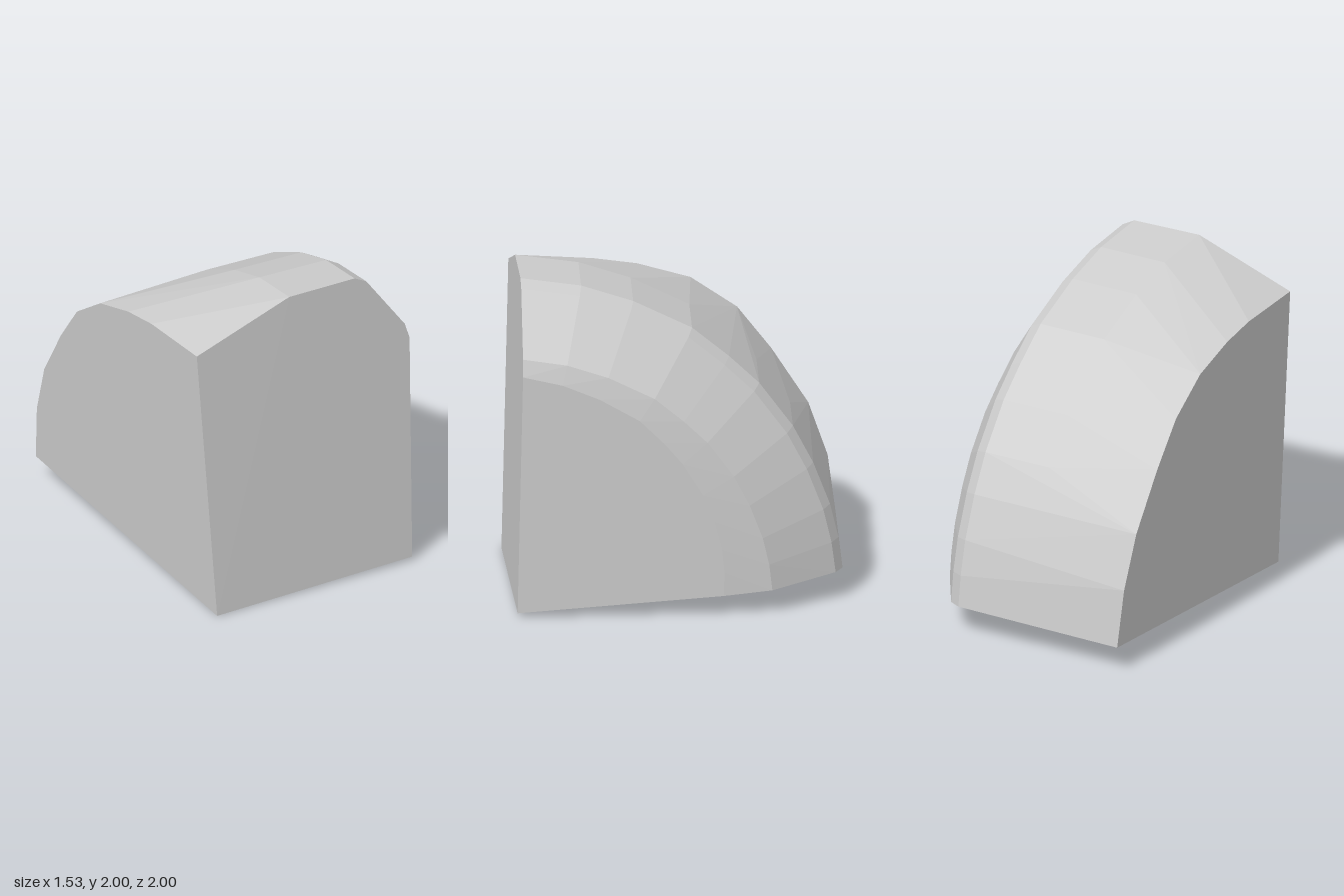
import * as THREE from 'three';
import { ConvexGeometry } from 'three/addons/geometries/ConvexGeometry.js';

// The flat cut planes of the wedge
const frontZ = (x, y) => 1 - 0.037 * (x + 0.58) - 0.022 * y;
const bottomY = (x, z) => 0.017 * (x + 0.58) + 0.077 * (1 - z);
const sideX = (y, z) => -0.58 - 0.062 * y - 0.0725 * (1 - z);

// Arcs as [z, y], running from the top of the front to the back of the base
const crest = [[0.92, 2], [0.56, 1.95], [0.25, 1.85], [-0.1, 1.68], [-0.32, 1.5], [-0.5, 1.33],
  [-0.7, 1.06], [-0.82, 0.83], [-0.92, 0.57], [-0.97, 0.36], [-0.995, 0.16]];
const sharpEdge = [[0.955, 1.77], [0.45, 1.755], [0.19, 1.715], [-0.13, 1.62], [-0.407, 1.43],
  [-0.61, 1.17], [-0.83, 0.83], [-0.945, 0.505], [-0.992, 0.152]];

// Each band repeats the crest at one x, drawn in toward the inner corner: [x, front scale, back scale]
const bands = [
  [-0.06, 1, 0.998],
  [0.39, 1, 1],
  [0.47, 0.978, 0.978],
  [0.73, 0.79, 0.785],
  [0.762, 0.737, 0.64],
];

export function createModel() {
  const group = new THREE.Group();
  const stone = new THREE.MeshStandardMaterial({ color: 0xcccccc });
  stone.name = 'light grey';

  const points = [];
  for (const [x, s0, s1] of bands) {
    crest.forEach(([cz, cy], i) => {
      const s = THREE.MathUtils.lerp(s0, s1, i / (crest.length - 1));
      let z = 1 + (cz - 1) * s;
      let y = 0.1 + (cy - 0.1) * s;
      if (i === 0) z = frontZ(x, y);
      if (i === crest.length - 1) y = bottomY(x, z);
      points.push(new THREE.Vector3(x, y, Math.min(z, frontZ(x, y))));
    });
  }

  // Sharp rim of the tilted flat side
  for (const [z, y] of sharpEdge) points.push(new THREE.Vector3(sideX(y, z), y, z));

  // Two lower front corners
  points.push(new THREE.Vector3(-0.58, 0, 1));
  points.push(new THREE.Vector3(0.762, bottomY(0.762, 0.95), frontZ(0.762, 0.03)));

  const wedge = new THREE.Mesh(new ConvexGeometry(points), stone);
  wedge.name = 'roundedWedge';
  group.add(wedge);
  return group;
}
